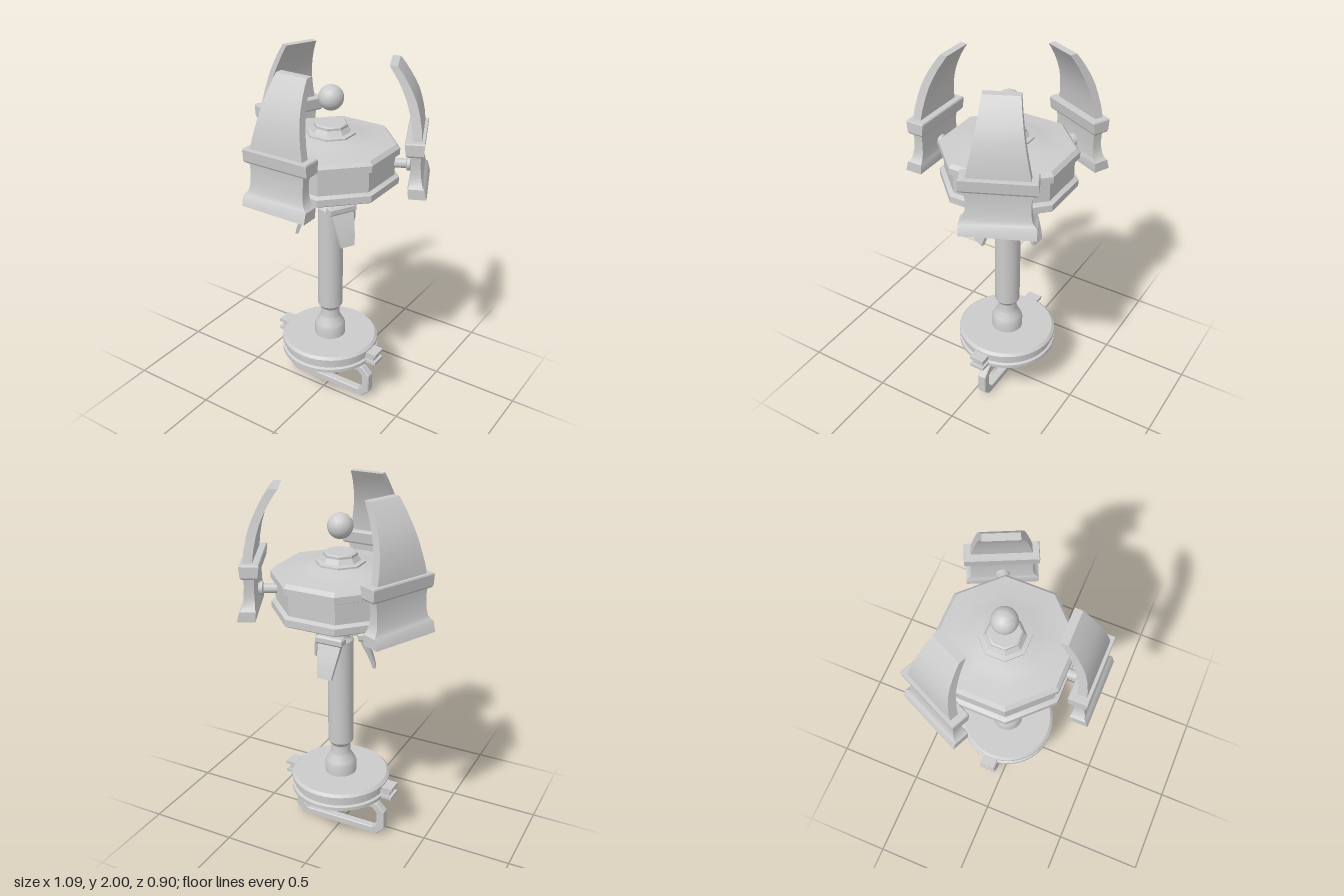
import * as THREE from 'three';
import { toCreasedNormals } from 'three/addons/utils/BufferGeometryUtils.js';

const material = new THREE.MeshStandardMaterial({ color: 0xcccccc });
const AXIS_Z = -0.066;
const rad = THREE.MathUtils.degToRad;

function part(name, geometry, parent, crease = 30) {
  const mesh = new THREE.Mesh(toCreasedNormals(geometry, rad(crease)), material);
  mesh.name = name;
  parent.add(mesh);
  return mesh;
}

// Turned shape from [radius, y] pairs, bottom to top
function turned(profile, sides, phase = 0) {
  return new THREE.LatheGeometry(profile.map(([r, y]) => new THREE.Vector2(r, y)), sides, phase);
}

// Eight-sided shape; radii are measured to the flats
function octagon(profile) {
  const k = 1 / Math.cos(Math.PI / 8);
  return turned(profile.map(([r, y]) => [r * k, y]), 8, Math.PI / 8);
}

// Loft of rectangles [y, halfWidth, outerZ, innerZ], bottom to top
function loft(rows) {
  const pos = [], idx = [];
  rows.forEach(([y, w, zo, zi]) => pos.push(-w, y, zo, w, y, zo, w, y, zi, -w, y, zi));
  for (let i = 0; i < rows.length - 1; i++) {
    for (let j = 0; j < 4; j++) {
      const a = i * 4 + j, b = i * 4 + (j + 1) % 4;
      idx.push(a, b, b + 4, a, b + 4, a + 4);
    }
  }
  const t = (rows.length - 1) * 4;
  idx.push(0, 2, 1, 0, 3, 2, t, t + 1, t + 2, t, t + 2, t + 3);
  const g = new THREE.BufferGeometry();
  g.setAttribute('position', new THREE.Float32BufferAttribute(pos, 3));
  g.setIndex(idx);
  return g;
}

function box(w, h, d, x, y, z) {
  return new THREE.BoxGeometry(w, h, d).translate(x, y, z);
}

// Rectangle with cut corners
function cutRect(Type, x, y0, y1, c) {
  const p = [[-x + c, y0], [x - c, y0], [x, y0 + c], [x, y1 - c],
    [x - c, y1], [-x + c, y1], [-x, y1 - c], [-x, y0 + c]];
  return new Type(p.map(([a, b]) => new THREE.Vector2(a, b)));
}

// Curved prong on its flared mount, pointing out along +z
function makeClaw() {
  const claw = new THREE.Group();
  part('clawMount', loft([
    [1.345, 0.188, 0.515, 0.422], [1.4, 0.188, 0.5, 0.416], [1.408, 0.178, 0.492, 0.42],
    [1.43, 0.163, 0.485, 0.422], [1.47, 0.156, 0.478, 0.424],
    [1.53, 0.156, 0.474, 0.424], [1.572, 0.16, 0.476, 0.42],
  ]), claw, 35);
  part('clawCollar', loft([
    [1.57, 0.182, 0.482, 0.406], [1.58, 0.188, 0.488, 0.4],
    [1.638, 0.188, 0.493, 0.392], [1.645, 0.184, 0.49, 0.396],
  ]), claw, 20);
  part('clawBlade', loft([
    [1.63, 0.156, 0.476, 0.43], [1.7, 0.142, 0.47, 0.422], [1.77, 0.127, 0.456, 0.408],
    [1.83, 0.116, 0.438, 0.39], [1.88, 0.107, 0.415, 0.368],
    [1.93, 0.099, 0.386, 0.342], [1.97, 0.093, 0.359, 0.316], [2.0, 0.089, 0.336, 0.296],
  ]), claw, 35);
  // Peg joining the claw to the head
  const peg = turned([[0, 0.28], [0.025, 0.28], [0.025, 0.395], [0.036, 0.4],
    [0.036, 0.415], [0.025, 0.42], [0.025, 0.44], [0, 0.44]], 16);
  part('clawPeg', peg.rotateX(Math.PI / 2).translate(0, 1.46, 0), claw);
  return claw;
}

// Small hanging fin, pointing out along +z
function makeFin() {
  const fin = new THREE.Group();
  part('finLink', box(0.05, 0.025, 0.06, 0, 1.216, 0.075), fin);
  part('finBar', loft([
    [1.193, 0.07, 0.132, 0.098], [1.202, 0.078, 0.14, 0.09],
    [1.228, 0.078, 0.14, 0.09], [1.237, 0.07, 0.132, 0.098],
  ]), fin, 20);
  part('finBlade', loft([
    [1.022, 0.04, 0.19, 0.172], [1.07, 0.048, 0.178, 0.156], [1.12, 0.056, 0.161, 0.135],
    [1.16, 0.062, 0.145, 0.115], [1.2, 0.066, 0.128, 0.1],
  ]), fin, 35);
  return fin;
}

export function createModel() {
  const model = new THREE.Group();
  model.position.z = AXIS_Z;
  const root = new THREE.Group();
  root.name = 'sceptre';
  root.add(model);

  // Handle loop and stem
  const loop = cutRect(THREE.Shape, 0.28, 0.004, 0.204, 0.045);
  loop.holes.push(cutRect(THREE.Path, 0.24, 0.038, 0.178, 0.03));
  part('handleLoop', new THREE.ExtrudeGeometry(loop, { depth: 0.036, bevelEnabled: true,
    bevelThickness: 0.006, bevelSize: 0.004, bevelSegments: 1 }).translate(0, 0, -0.018), model);
  part('handleStem', box(0.068, 0.085, 0.046, 0, 0.23, 0), model);

  // Grooved base disc
  part('baseDisc', turned([[0, 0.26], [0.265, 0.26], [0.277, 0.268], [0.277, 0.288],
    [0.264, 0.295], [0.264, 0.325], [0.277, 0.332], [0.277, 0.352], [0.262, 0.366], [0, 0.366]], 40), model);

  // I-shaped clips on both sides of the base
  for (const s of [-1, 1]) {
    part('clipTop', box(0.1, 0.018, 0.086, s * 0.285, 0.336, 0), model);
    part('clipBottom', box(0.1, 0.018, 0.086, s * 0.285, 0.284, 0), model);
    part('clipWeb', box(0.08, 0.04, 0.06, s * 0.278, 0.31, 0), model);
  }

  // Column
  part('column', turned([[0.088, 0.36], [0.088, 0.425], [0.08, 0.445], [0.056, 0.485], [0.053, 0.54],
    [0.07, 0.565], [0.07, 1.18], [0.056, 1.2], [0.056, 1.235], [0.085, 1.285], [0.085, 1.35]], 24), model);

  // Eight-sided head with stepped crown
  part('head', octagon([[0, 1.345], [0.325, 1.345], [0.334, 1.352], [0.334, 1.388], [0.312, 1.4],
    [0.312, 1.505], [0.334, 1.515], [0.334, 1.55], [0.316, 1.57],
    [0.23, 1.578], [0.17, 1.59], [0.12, 1.606], [0, 1.606]]), model);
  part('crown', octagon([[0.12, 1.598], [0.12, 1.615], [0.098, 1.62], [0.082, 1.645],
    [0.082, 1.658], [0.074, 1.664], [0, 1.664]]), model);
  part('orb', new THREE.SphereGeometry(0.066, 32, 20).translate(0, 1.795, 0), model);

  // Three claws around the head, three fins between them below
  for (const angle of [0, 115, -115]) {
    const claw = makeClaw();
    claw.name = 'claw';
    claw.rotation.y = rad(angle);
    model.add(claw);
  }
  for (const angle of [180, 63, -63]) {
    const fin = makeFin();
    fin.name = 'fin';
    fin.rotation.y = rad(angle);
    model.add(fin);
  }
  return root;
}
